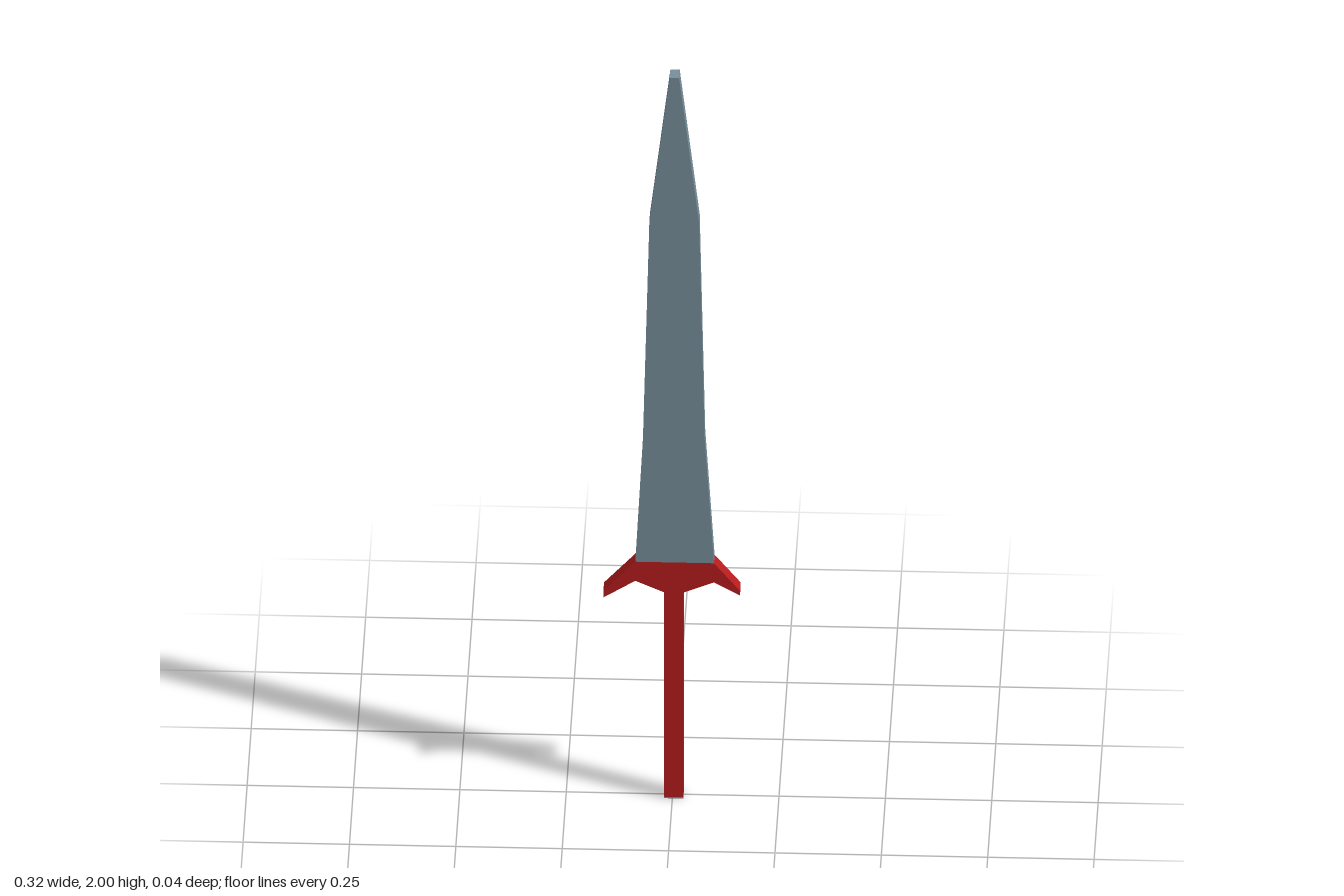
import * as THREE from 'three';

const DEPTH = 0.038;
const steel = new THREE.MeshStandardMaterial({ color: 0x78909c, flatShading: true });
const red = new THREE.MeshStandardMaterial({ color: 0xb71c1c, flatShading: true });

// Flat outline extruded to the common thickness, centred on z = 0
function slab(name, points, material) {
  const shape = new THREE.Shape(points.map(([x, y]) => new THREE.Vector2(x, y)));
  const geometry = new THREE.ExtrudeGeometry(shape, { depth: DEPTH, bevelEnabled: false });
  geometry.translate(0, 0, -DEPTH / 2);
  const mesh = new THREE.Mesh(geometry, material);
  mesh.name = name;
  return mesh;
}

export function createModel() {
  const sword = new THREE.Group();
  sword.name = 'sword';

  // Tapering blade with a blunt tip
  sword.add(slab('blade', [
    [-0.087, 0.655], [0.098, 0.655], [0.076, 1.0], [0.063, 1.6],
    [0.016, 2], [-0.006, 2], [-0.054, 1.6], [-0.069, 1.0],
  ], steel));

  // Crossguard with drooping, slightly uneven wings
  sword.add(slab('crossguard', [
    [-0.087, 0.655], [-0.162, 0.572], [-0.162, 0.554], [-0.087, 0.602], [-0.02, 0.572],
    [0.026, 0.572], [0.098, 0.602], [0.159, 0.567], [0.159, 0.58], [0.098, 0.655],
  ], red));

  // Square grip
  sword.add(slab('grip', [[-0.02, 0.004], [0.026, 0.004], [0.026, 0.572], [-0.02, 0.572]], red));

  // Thin steel cap under the grip
  sword.add(slab('pommelCap', [[-0.02, 0], [0.026, 0], [0.026, 0.004], [-0.02, 0.004]], steel));

  return sword;
}
